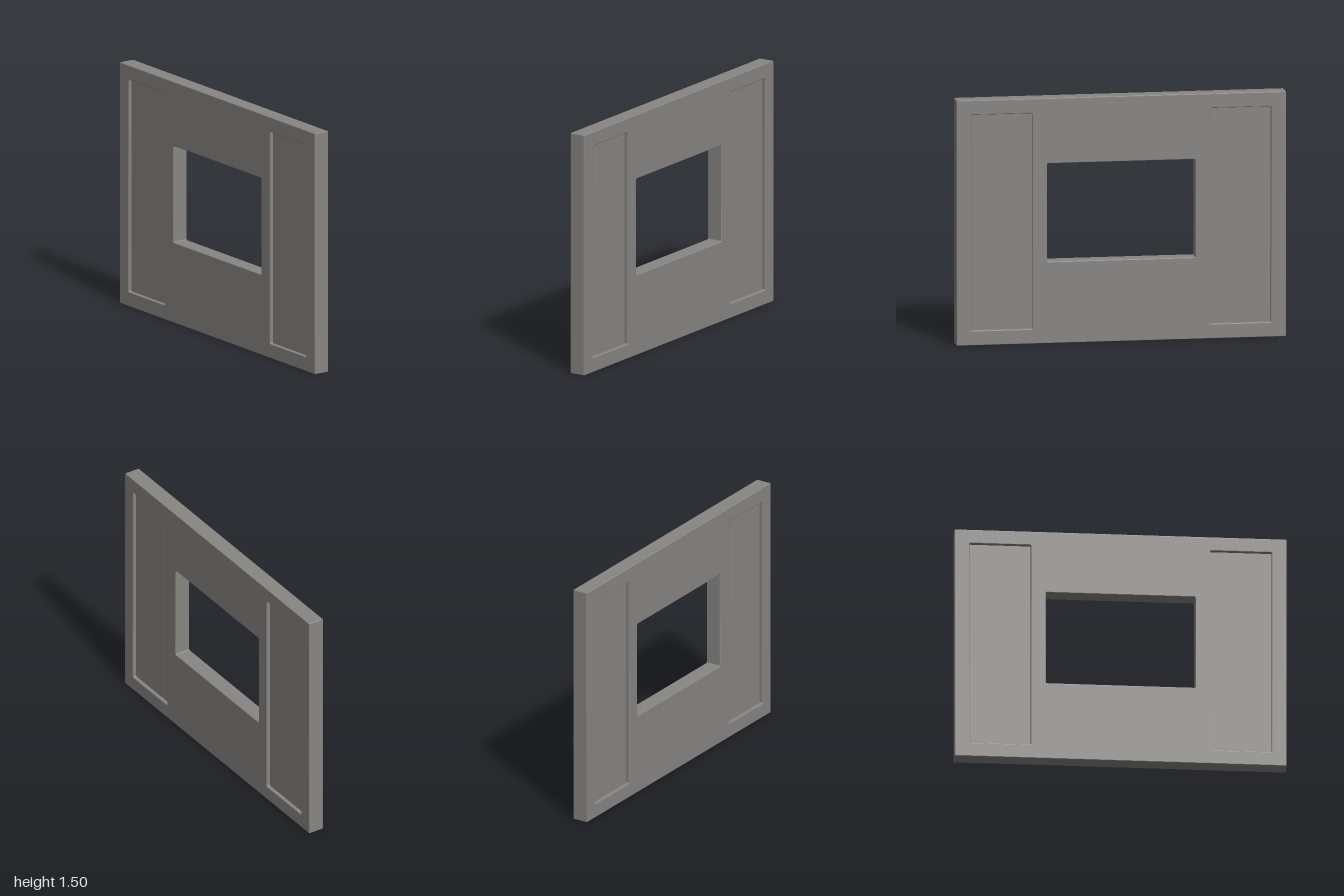
import * as THREE from 'three';
import { toCreasedNormals } from 'three/addons/utils/BufferGeometryUtils.js';

const HALF = 0.05;    // half the wall thickness
const FLOOR = 0.028;  // z of the sunken panel floor
const BEVEL = 0.005;  // rounding of all edges

const OUTER = { x: 0, y: 0.75, w: 2, h: 1.5, r: 0.004 };
const WINDOW = { x: 0, y: 0.8, w: 0.9, h: 0.6, r: 0.006 };
const PANELS = [-1, 1].map(s => ({ x: s * 0.725, y: 0.75, w: 0.37, h: 1.32, r: 0.006 }));

const material = new THREE.MeshStandardMaterial({ color: 0x888683 });

// Counter-clockwise rounded rectangle, grown (or shrunk) by g
function loop({ x, y, w, h, r }, g = 0) {
  const points = [], n = 3;
  const radius = Math.max(r + g, 0.001);
  const cx = w / 2 + g - radius, cy = h / 2 + g - radius;
  [[1, 1], [-1, 1], [-1, -1], [1, -1]].forEach(([sx, sy], q) => {
    for (let i = 0; i <= n; i++) {
      const a = (q + i / n) * Math.PI / 2;
      points.push(new THREE.Vector2(x + sx * cx + radius * Math.cos(a), y + sy * cy + radius * Math.sin(a)));
    }
  });
  return points;
}

// Band joining rectangle loops along a profile of [growth, z], with crisp facets
function band(rect, profile) {
  const rings = profile.map(([g, z]) => loop(rect, g).map(p => [p.x, p.y, z]));
  const pos = [];
  for (let k = 0; k + 1 < rings.length; k++) {
    const a = rings[k], b = rings[k + 1];
    a.forEach((p, i) => {
      const j = (i + 1) % a.length;
      pos.push(...p, ...b[i], ...b[j], ...p, ...b[j], ...a[j]);
    });
  }
  const geometry = new THREE.BufferGeometry();
  geometry.setAttribute('position', new THREE.Float32BufferAttribute(pos, 3));
  return toCreasedNormals(geometry, 0.2);
}

// Rounded edge profile, from the straight side up to the flat face
function roundedEdge(sign) {
  return [0, 1, 2, 3].map(i => {
    const a = i / 3 * Math.PI / 2;
    return [sign * BEVEL * (1 - Math.cos(a)), HALF - BEVEL * (1 - Math.sin(a))];
  });
}

function addMesh(group, name, geometry, z = 0) {
  const mesh = new THREE.Mesh(geometry, material);
  mesh.name = name;
  mesh.position.z = z;
  group.add(mesh);
}

// One half of the wall, from its middle plane to its face
function wallHalf(name) {
  const half = new THREE.Group();
  half.name = name;

  // Flat face with the window and panel openings
  const face = new THREE.Shape(loop(OUTER, -BEVEL));
  [WINDOW, ...PANELS].forEach(r => face.holes.push(new THREE.Path(loop(r, BEVEL))));
  addMesh(half, 'wallFace', new THREE.ShapeGeometry(face), HALF);

  // Outer edge and window reveal
  addMesh(half, 'outerEdge', band(OUTER, [...roundedEdge(-1).reverse(), [0, 0]]));
  addMesh(half, 'windowReveal', band(WINDOW, [[0, 0], ...roundedEdge(1)]));

  // Sunken side panels
  PANELS.forEach((panel, i) => {
    const side = i ? 'left' : 'right';
    addMesh(half, side + 'PanelRim', band(panel, [[0, FLOOR], ...roundedEdge(1)]));
    addMesh(half, side + 'PanelFloor', new THREE.ShapeGeometry(new THREE.Shape(loop(panel))), FLOOR);
  });
  return half;
}

export function createModel() {
  const model = new THREE.Group();
  model.name = 'windowWall';
  const back = wallHalf('backHalf');
  back.rotation.y = Math.PI;
  model.add(wallHalf('frontHalf'), back);
  return model;
}
